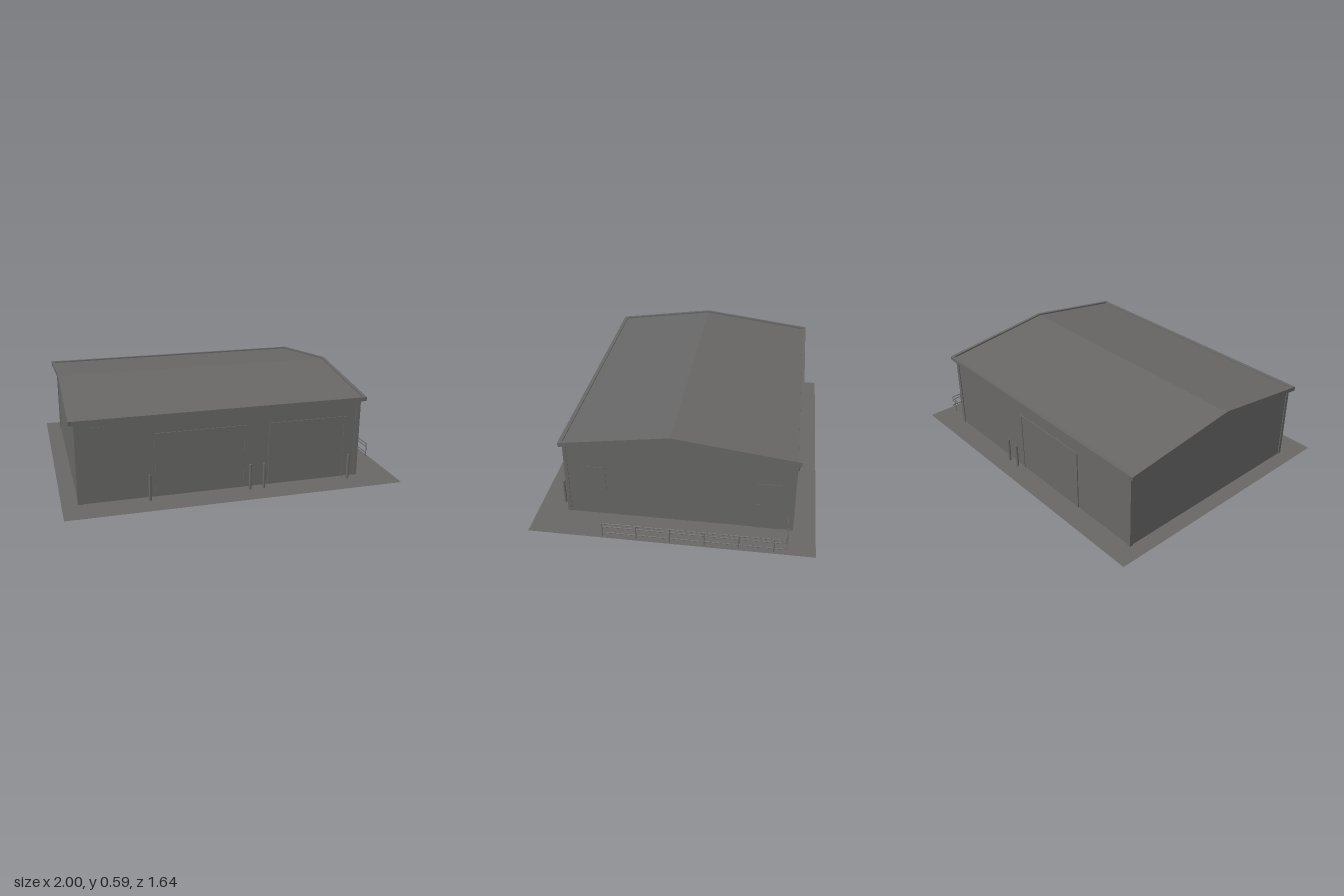
import * as THREE from 'three';

const grey = new THREE.MeshStandardMaterial({ color: 0x686766, side: THREE.DoubleSide });
grey.name = 'warm grey';

const RIDGE_Z = 0.015;

export function createModel() {
  const model = new THREE.Group();
  model.name = 'warehouse';

  const add = (name, geometry, x = 0, y = 0, z = 0) => {
    const mesh = new THREE.Mesh(geometry, grey);
    mesh.name = name;
    mesh.position.set(x, y, z);
    model.add(mesh);
    return mesh;
  };

  // Box given by its limits on each axis
  const box = (name, x0, x1, y0, y1, z0, z1) =>
    add(name, new THREE.BoxGeometry(x1 - x0, y1 - y0, z1 - z0), (x0 + x1) / 2, (y0 + y1) / 2, (z0 + z1) / 2);

  // Profile drawn in (z, y) and swept along x
  const sweep = (name, points, x0, x1) => {
    const shape = new THREE.Shape(points.map(([z, y]) => new THREE.Vector2(z, y)));
    const geometry = new THREE.ExtrudeGeometry(shape, { depth: x1 - x0, bevelEnabled: false });
    geometry.rotateY(-Math.PI / 2);
    return add(name, geometry, x1, 0, 0);
  };

  // Ground
  add('groundSlab', new THREE.PlaneGeometry(2, 1.64).rotateX(-Math.PI / 2));

  // Gabled wall body and corner trims
  sweep('walls', [[0.635, 0], [0.635, 0.48], [RIDGE_Z, 0.57], [-0.685, 0.48], [-0.685, 0]], -0.905, 0.785);
  for (const [x0, x1] of [[-0.91, -0.88], [0.765, 0.79]])
    for (const [z0, z1] of [[0.62, 0.64], [-0.69, -0.67]])
      box('cornerTrim', x0, x1, 0, 0.48, z0, z1);

  // Roof panels, gable trims and gutters
  sweep('roof', [[0.635, 0.493], [RIDGE_Z, 0.581], [-0.69, 0.488], [-0.69, 0.472], [RIDGE_Z, 0.565], [0.635, 0.476]], -0.92, 0.8);
  for (const [x0, x1] of [[-0.94, -0.92], [0.8, 0.82]])
    sweep('gableTrim', [[0.655, 0.5], [RIDGE_Z, 0.59], [-0.71, 0.497], [-0.708, 0.473], [RIDGE_Z, 0.565], [0.652, 0.475]], x0, x1);
  box('frontGutter', -0.92, 0.8, 0.475, 0.5, 0.633, 0.655);
  box('backGutter', -0.92, 0.8, 0.473, 0.496, -0.71, -0.688);

  // Loading doors with slim frames; side is the outward z direction
  const loadingDoor = (x0, x1, wallZ, side) => {
    const h = 0.385, w = 0.012;
    const slab = (name, a, b, y0, y1, depth) => {
      const zs = [wallZ, wallZ + side * depth].sort((p, q) => p - q);
      box(name, a, b, y0, y1, zs[0], zs[1]);
    };
    slab('doorPanel', x0 + w, x1 - w, 0, h - w, 0.002);
    slab('doorJamb', x0, x0 + w, 0, h, 0.006);
    slab('doorJamb', x1 - w, x1, 0, h, 0.006);
    slab('doorLintel', x0 + w, x1 - w, h - w, h, 0.006);
  };
  loadingDoor(-0.465, 0.075, 0.635, 1);
  loadingDoor(0.215, 0.7, 0.635, 1);
  loadingDoor(-0.465, 0.075, -0.685, -1);

  // Side entrance, side window and high front panel
  box('sideDoor', 0.785, 0.789, 0, 0.31, -0.615, -0.475);
  box('sideDoorHandle', 0.789, 0.796, 0.166, 0.172, -0.495, -0.475);
  box('sideWindow', 0.785, 0.788, 0.18, 0.33, 0.4, 0.53);
  box('frontPanel', -0.83, -0.72, 0.38, 0.45, 0.635, 0.637);

  // Bollards
  const bollard = new THREE.CylinderGeometry(0.008, 0.008, 0.155, 12);
  for (const [x, z] of [[-0.505, 0.68], [0.09, 0.68], [0.175, 0.68], [0.71, 0.68], [0.105, -0.715], [0.19, -0.715]])
    add('bollard', bollard, x, 0.0775, z);

  // Guard rail: long run beside the wall, returning to it at the back
  const r = 0.003;
  const path = new THREE.CurvePath();
  const v = (x, z) => new THREE.Vector3(x, 0, z);
  path.add(new THREE.LineCurve3(v(0.785, -0.66), v(0.965, -0.66)));
  path.add(new THREE.QuadraticBezierCurve3(v(0.965, -0.66), v(0.983, -0.66), v(0.983, -0.642)));
  path.add(new THREE.LineCurve3(v(0.983, -0.642), v(0.983, 0.385)));
  const rail = new THREE.TubeGeometry(path, 120, r, 6);
  for (const y of [0.088, 0.067, 0.025]) add('guardRail', rail, 0, y, 0);
  const post = new THREE.CylinderGeometry(r, r, 0.088, 6);
  for (const z of [0.385, 0.19, -0.003, -0.198, -0.393, -0.588]) add('railPost', post, 0.983, 0.044, z);
  for (const x of [0.825, 0.935]) add('railPost', post, x, 0.044, -0.66);

  return model;
}
